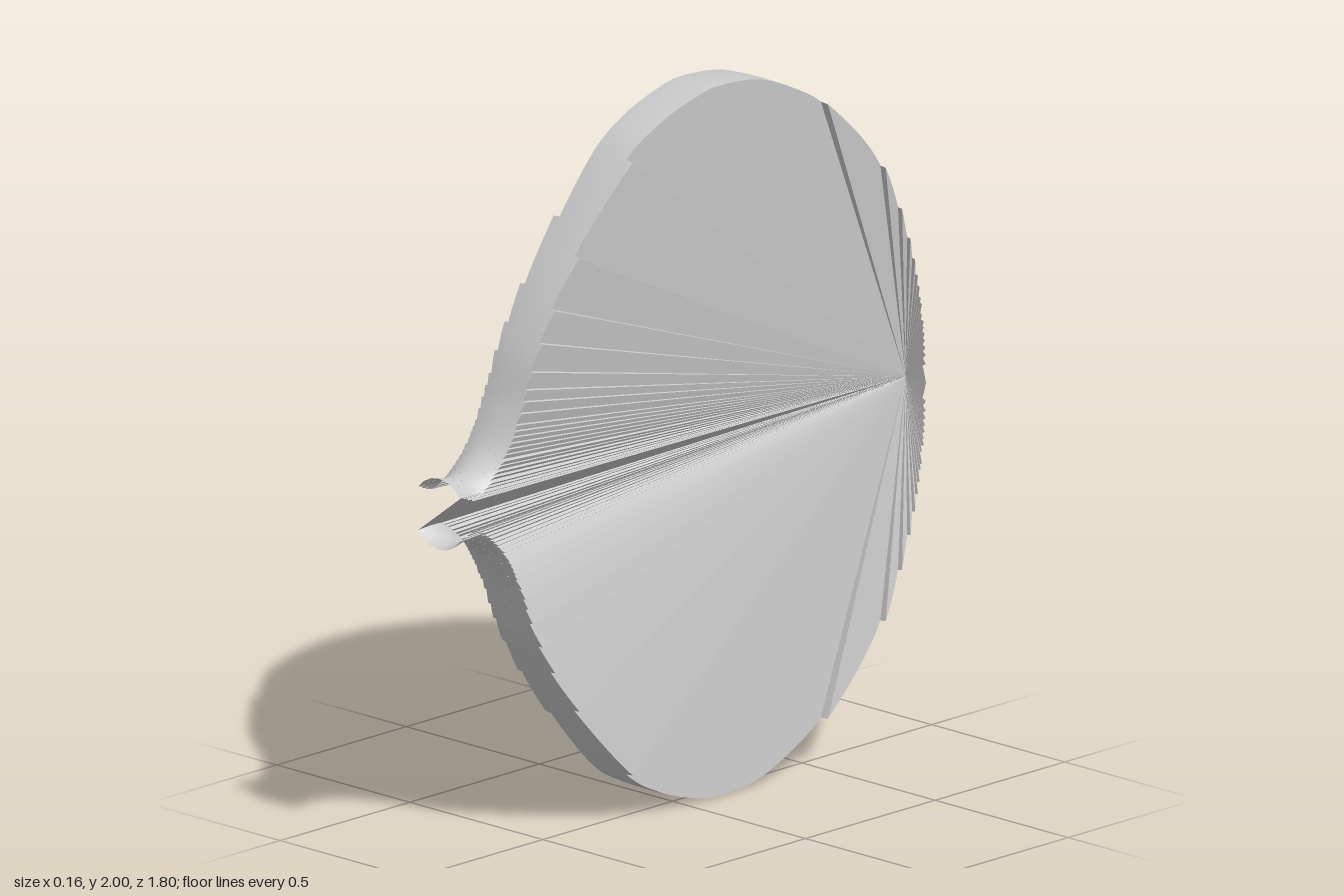
import * as THREE from 'three';

const SEGS = 180;       // samples along the outline
const ACROSS = 6;       // facets across the rim
const STEP = 0.0308;    // angle of one tooth
const HALF = 0.08;      // half thickness limit

// outline from neck to pole: (distance from axis, z)
const outline = new THREE.SplineCurve([
  [0.1, 0.9], [0.09, 0.84], [0.11, 0.78], [0.16, 0.72], [0.26, 0.66], [0.42, 0.59],
  [0.61, 0.465], [0.85, 0.25], [0.94, 0.11], [0.99, -0.04], [1, -0.13], [0.985, -0.27],
  [0.93, -0.41], [0.85, -0.54], [0.66, -0.73], [0.42, -0.84], [0.2, -0.887], [0, -0.9],
].map(([r, z]) => new THREE.Vector2(r, z)));
const profile = outline.getSpacedPoints(SEGS);
const pole = [0, 1, -0.9];

const onLathe = (p, a) => [p.x * Math.sin(a), 1 + p.x * Math.cos(a), p.y];

// widest tooth angle that keeps the rim within its thickness
function toothAngle(r, phase) {
  const limit = Math.asin(Math.min(1, HALF / Math.max(r, 0.001)));
  return phase + STEP * Math.max(0, Math.floor((limit - phase) / STEP + 0.001));
}

function makeMesh(name, positions, normals) {
  const geo = new THREE.BufferGeometry();
  geo.setAttribute('position', new THREE.Float32BufferAttribute(positions, 3));
  if (normals) geo.setAttribute('normal', new THREE.Float32BufferAttribute(normals, 3));
  else geo.computeVertexNormals();
  const mat = new THREE.MeshStandardMaterial({ color: 0xcccccc, side: THREE.DoubleSide });
  const mesh = new THREE.Mesh(geo, mat);
  mesh.name = name;
  return mesh;
}

// one half of the body: curved rim strip plus the two pleated fans
function makeHalf(name, turn, phasePlus, phaseMinus) {
  const half = new THREE.Group();
  half.name = name;
  const pos = [], nor = [], edgeA = [], edgeB = [];
  const normalAt = (i, a) => {
    const p = profile[Math.max(0, i - 1)], q = profile[Math.min(SEGS, i + 1)];
    const d = q.clone().sub(p).normalize();
    return [-d.y * Math.sin(a), -d.y * Math.cos(a), d.x];
  };
  for (let i = 0; i < SEGS; i++) {
    const r = Math.max(profile[i].x, profile[i + 1].x);
    const a0 = turn - toothAngle(r, phaseMinus);
    const a1 = turn + toothAngle(r, phasePlus);
    for (let j = 0; j < ACROSS; j++) {
      const s = a0 + (a1 - a0) * j / ACROSS, e = a0 + (a1 - a0) * (j + 1) / ACROSS;
      for (const [k, a] of [[i, s], [i, e], [i + 1, s], [i, e], [i + 1, e], [i + 1, s]]) {
        pos.push(...onLathe(profile[k], a));
        nor.push(...normalAt(k, a));
      }
    }
    edgeA.push(onLathe(profile[i], a0), onLathe(profile[i + 1], a0));
    edgeB.push(onLathe(profile[i], a1), onLathe(profile[i + 1], a1));
  }
  half.add(makeMesh('rim', pos, nor));

  // pleats run from the stepped rim edges to the pole
  const fan = (edge, flip) => {
    const out = [];
    for (let i = 0; i < edge.length - 2; i++) {
      const [p, q] = flip ? [edge[i], edge[i + 1]] : [edge[i + 1], edge[i]];
      out.push(...pole, ...p, ...q);
    }
    return out;
  };
  half.add(makeMesh('pleatsA', fan(edgeA, true)), makeMesh('pleatsB', fan(edgeB, false)));
  half.userData.lips = [edgeA[0], edgeB[0]];
  return half;
}

export function createModel() {
  const group = new THREE.Group();
  group.name = 'pleatedFan';
  const upper = makeHalf('upperHalf', 0, 0.061, 0.08);
  const lower = makeHalf('lowerHalf', Math.PI, 0.055, 0.061);
  group.add(upper, lower);

  // slanted web joining the two neck lips
  const top = upper.userData.lips[1], bottom = lower.userData.lips[1];
  group.add(makeMesh('neckWeb', [...pole, ...top, ...bottom]));
  return group;
}
